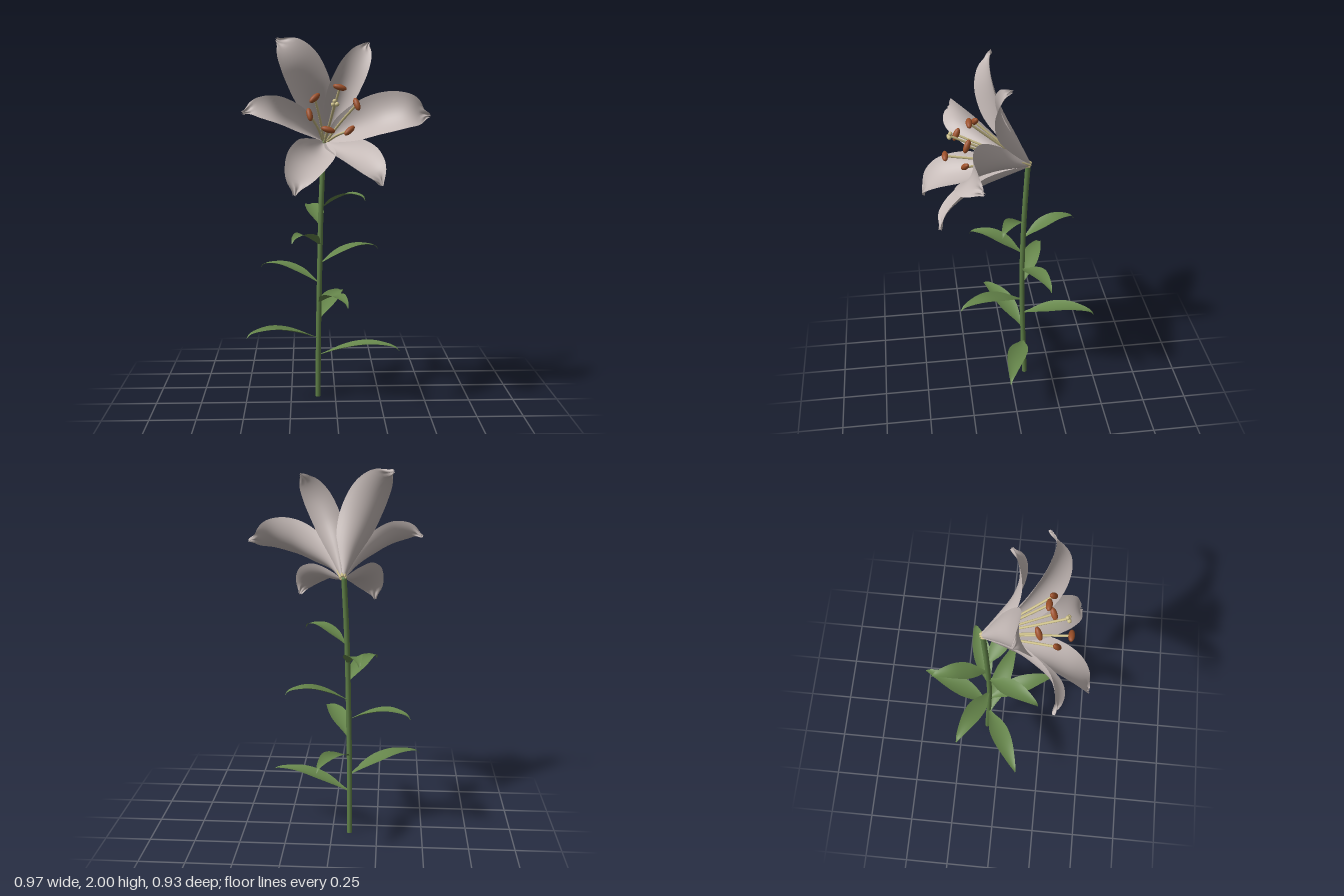
import * as THREE from 'three';

const V = (x, y, z) => new THREE.Vector3(x, y, z);
const mat = (name, color, side = THREE.FrontSide) => {
  const m = new THREE.MeshStandardMaterial({ color, side });
  m.name = name;
  return m;
};

// Value of a smooth profile whose samples are evenly spaced over 0..1
const profile = (values) => {
  const s = new THREE.SplineCurve(values.map((v, i) => new THREE.Vector2(i, v)));
  return (t) => Math.max(0.02, s.getPoint(t).y);
};

// Curved blade swept along a path; its edges are cupped towards "up"
function blade(points, up, halfWidth, widthAt, cupAt, ruffle = 0, seed = 0) {
  const curve = new THREE.CatmullRomCurve3(points);
  const across = points[points.length - 1].clone().sub(points[0]).cross(up).normalize();
  const rows = 40, cols = 12, pos = [], index = [];
  for (let j = 0; j <= rows; j++) {
    const t = j / rows;
    const p = curve.getPointAt(t), T = curve.getTangentAt(t);
    const W = across.clone().addScaledVector(T, -across.dot(T)).normalize();
    const N = W.clone().cross(T);
    const h = halfWidth * widthAt(t);
    const crumple = ruffle * THREE.MathUtils.smoothstep(t, 0.9, 0.98);
    for (let i = 0; i <= cols; i++) {
      const s = (i / cols) * 2 - 1;
      const lift = cupAt(t) * h * s * s + crumple * Math.sin(s * 7 + seed + t * 40);
      const q = p.clone().addScaledVector(W, h * s).addScaledVector(N, lift)
        .addScaledVector(T, crumple * 0.6 * Math.cos(s * 9 + seed));
      pos.push(q.x, q.y, q.z);
      if (j < rows && i < cols) {
        const a = j * (cols + 1) + i, c = a + cols + 1;
        index.push(a, a + 1, c, a + 1, c + 1, c);
      }
    }
  }
  const g = new THREE.BufferGeometry();
  g.setAttribute('position', new THREE.Float32BufferAttribute(pos, 3));
  g.setIndex(index);
  g.computeVertexNormals();
  return g;
}

export function createModel() {
  const root = new THREE.Group();
  root.name = 'lily';
  const petalMat = mat('pale petal', 0xc4b9b6, THREE.DoubleSide);
  const leafMat = mat('leaf green', 0x66864b, THREE.DoubleSide);
  const stemMat = mat('stem green', 0x5e7f46);
  const filamentMat = mat('filament cream', 0xcdc08a);
  const antherMat = mat('anther brown', 0x9c5029);
  const add = (name, geometry, material, parent = root) => {
    const m = new THREE.Mesh(geometry, material);
    m.name = name;
    parent.add(m);
    return m;
  };

  // Stem, gently bowed, closed at both ends
  const stemCurve = new THREE.CatmullRomCurve3([
    V(-0.098, 0, -0.093), V(-0.095, 0.35, -0.08), V(-0.088, 0.7, -0.072),
    V(-0.078, 1.1, -0.08), V(-0.062, 1.445, -0.096)]);
  add('stem', new THREE.TubeGeometry(stemCurve, 32, 0.0145, 12), stemMat);
  const foot = add('stemFoot', new THREE.CircleGeometry(0.0145, 12), stemMat);
  foot.rotation.x = Math.PI / 2;
  foot.position.copy(stemCurve.getPoint(0));
  add('stemTip', new THREE.SphereGeometry(0.0146, 12, 8), stemMat).position.copy(stemCurve.getPoint(1));

  // Leaves: height on the stem, then tip x and z
  const leaves = new THREE.Group();
  leaves.name = 'leaves';
  root.add(leaves);
  const leafWidth = profile([0.12, 0.36, 0.74, 0.98, 1, 0.88, 0.64, 0.36, 0.04]);
  [[1.09, 0.155, 0.065], [0.99, -0.155, -0.37], [0.885, -0.235, 0.21],
    [0.78, 0.245, -0.185], [0.67, -0.42, -0.225], [0.56, 0.055, 0.29],
    [0.46, 0.055, -0.47], [0.35, -0.485, 0.115], [0.25, 0.35, 0.047]].forEach(([y, x, z]) => {
    const b = stemCurve.getPoint(y / 1.445);
    b.y = y;
    const len = Math.hypot(x - b.x, z - b.z);
    const path = [[0, -0.005], [0.3, 0.047], [0.6, 0.081], [0.8, 0.084], [0.95, 0.073], [1, 0.053]]
      .map(([f, h]) => V(b.x + (x - b.x) * f, y + h, b.z + (z - b.z) * f));
    add('leaf', blade(path, V(0, 1, 0), 0.034 + 0.045 * len, leafWidth, () => 0.22), leafMat, leaves);
  });

  // Flower, opening forwards and slightly upwards
  const base = V(-0.055, 1.455, -0.1);
  const axis = V(0.09, 0.44, 0.89).normalize();
  const outward = (p) => {
    const d = p.clone().sub(base);
    return d.addScaledVector(axis, -d.dot(axis)).normalize();
  };

  // Petals: half width and centre line from the base to the recurved tip
  const petals = new THREE.Group();
  petals.name = 'petals';
  root.add(petals);
  const petalWidth = profile([0.13, 0.38, 0.63, 0.83, 0.97, 1, 0.93, 0.66, 0.08]);
  [
    [0.115, [-0.1, 1.61, -0.03], [-0.155, 1.755, 0.05], [-0.21, 1.88, 0.09], [-0.262, 1.95, 0.09], [-0.31, 1.985, 0.065]],
    [0.08, [-0.005, 1.61, -0.03], [0.045, 1.735, 0.037], [0.1, 1.85, 0.065], [0.145, 1.93, 0.053], [0.172, 1.97, 0.02]],
    [0.08, [-0.135, 1.515, 0.045], [-0.23, 1.58, 0.17], [-0.33, 1.63, 0.262], [-0.42, 1.64, 0.285], [-0.475, 1.62, 0.275]],
    [0.115, [0.03, 1.505, 0.025], [0.14, 1.555, 0.138], [0.25, 1.6, 0.212], [0.37, 1.62, 0.24], [0.475, 1.6, 0.187]],
    [0.108, [-0.09, 1.41, 0.08], [-0.13, 1.388, 0.25], [-0.172, 1.35, 0.37], [-0.202, 1.29, 0.437], [-0.217, 1.225, 0.452]],
    [0.09, [0, 1.42, 0.04], [0.07, 1.405, 0.18], [0.14, 1.375, 0.29], [0.19, 1.325, 0.365], [0.217, 1.265, 0.387]],
  ].forEach(([half, ...line], k) => {
    const path = line.map((p) => V(...p));
    const out = outward(path[4]);
    path.unshift(base.clone().addScaledVector(out, 0.016));
    add('petal', blade(path, out.negate(), half, petalWidth, (t) => 0.75 - 0.55 * t, 0.008, k * 1.7), petalMat, petals);
  });

  // Stamens: slightly bowed filaments, each with an anther lying across its end
  const filament = (tip, name, parent) => {
    const out = outward(tip);
    const start = base.clone().addScaledVector(out, 0.013).addScaledVector(axis, -0.004);
    const mid = start.clone().lerp(tip, 0.5).addScaledVector(out, -0.008);
    add(name, new THREE.TubeGeometry(new THREE.CatmullRomCurve3([start, mid, tip]), 16, 0.0065, 8), filamentMat, parent);
    add(name + 'End', new THREE.SphereGeometry(0.0065, 8, 6), filamentMat, parent).position.copy(start);
    return out;
  };
  [[-0.113, 1.69, 0.175], [-0.14, 1.61, 0.268], [0.014, 1.744, 0.212],
    [0.099, 1.66, 0.232], [0.062, 1.528, 0.242], [-0.048, 1.538, 0.335]].forEach((p) => {
    const stamen = new THREE.Group();
    stamen.name = 'stamen';
    root.add(stamen);
    const tip = V(...p);
    const across = axis.clone().cross(filament(tip, 'filament', stamen)).normalize();
    const anther = add('anther', new THREE.SphereGeometry(1, 16, 12), antherMat, stamen);
    anther.scale.set(0.036, 0.0155, 0.0165);
    anther.quaternion.setFromUnitVectors(V(1, 0, 0), across);
    anther.position.copy(tip);
  });

  // Pistil with a three-lobed stigma
  const pistil = new THREE.Group();
  pistil.name = 'pistil';
  root.add(pistil);
  const top = V(-0.014, 1.667, 0.31);
  const side = filament(top, 'style', pistil);
  for (let i = 0; i < 3; i++) {
    add('stigmaLobe', new THREE.SphereGeometry(0.011, 12, 8), filamentMat, pistil).position.copy(top)
      .addScaledVector(side.clone().applyAxisAngle(axis, (i * Math.PI * 2) / 3), 0.012);
  }
  return root;
}
